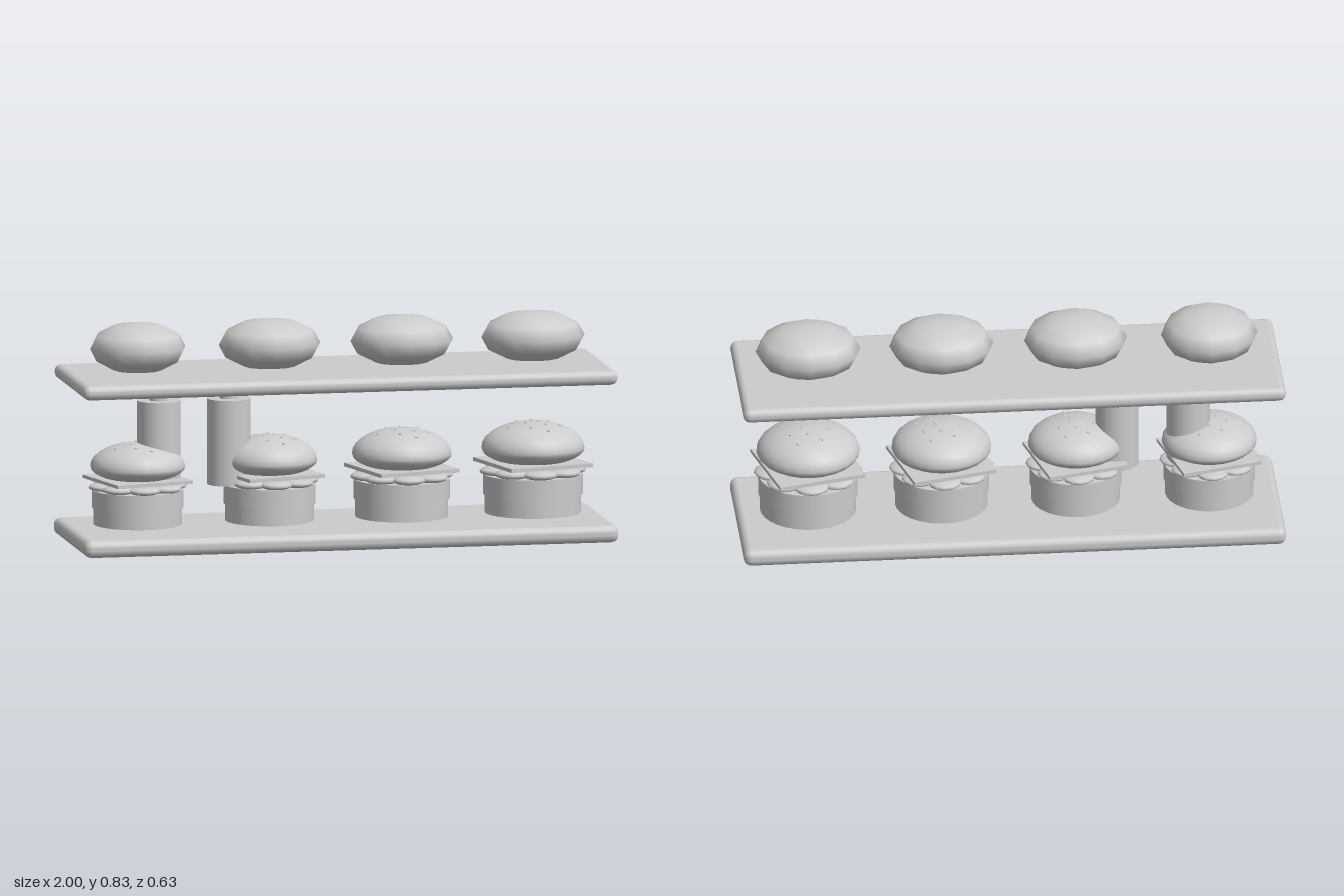
import * as THREE from 'three';
import { RoundedBoxGeometry } from 'three/addons/geometries/RoundedBoxGeometry.js';

const grey = new THREE.MeshStandardMaterial({ color: 0xcccccc });
grey.name = 'plain grey';

function part(name, geometry, parent, x = 0, y = 0, z = 0) {
  const mesh = new THREE.Mesh(geometry, grey);
  mesh.name = name;
  mesh.position.set(x, y, z);
  parent.add(mesh);
  return mesh;
}

// Cylinder given by its bottom and top heights
function drum(name, radius, bottom, top, parent, x = 0) {
  const geometry = new THREE.CylinderGeometry(radius, radius, top - bottom, 32);
  return part(name, geometry, parent, x, (bottom + top) / 2);
}

// Domed bun: rounder above its widest line than below
const BUN = { radius: 0.19, up: 0.098, down: 0.063, y: 0.239 };
function bunGeometry() {
  const geometry = new THREE.SphereGeometry(1, 24, 16);
  const p = geometry.attributes.position;
  for (let i = 0; i < p.count; i++) {
    const y = p.getY(i);
    p.setXYZ(i, p.getX(i) * BUN.radius, y * (y > 0 ? BUN.up : BUN.down), p.getZ(i) * BUN.radius);
  }
  geometry.computeVertexNormals();
  return geometry;
}

// Stacked burger with its base at y = 0
function makeBurger() {
  const burger = new THREE.Group();
  burger.name = 'burger';
  drum('bottomBun', 0.177, 0, 0.068, burger);
  drum('patty', 0.183, 0.068, 0.143, burger);

  // Ruffled lettuce made of flattened lumps
  for (let i = 0; i < 8; i++) {
    const a = (i / 8) * Math.PI * 2;
    const leaf = part('lettuceLeaf', new THREE.SphereGeometry(0.066, 12, 8), burger,
      Math.cos(a) * 0.134, 0.156, Math.sin(a) * 0.134);
    leaf.scale.y = 0.28;
  }

  // Square cheese slice, turned so its corners poke out
  const cheese = part('cheese', new THREE.BoxGeometry(0.33, 0.014, 0.33), burger, 0, 0.184);
  cheese.rotation.y = 0.25;

  part('topBun', bunGeometry(), burger, 0, BUN.y);

  // Sesame seeds in a spiral over the dome
  for (let i = 0; i < 12; i++) {
    const a = i * 2.4, r = 0.035 * Math.sqrt(i + 0.3);
    const y = BUN.y + BUN.up * Math.sqrt(1 - (r / BUN.radius) ** 2);
    const seed = part('sesameSeed', new THREE.SphereGeometry(0.007, 8, 6), burger,
      Math.cos(a) * r, y, Math.sin(a) * r);
    seed.scale.y = 0.65;
  }
  return burger;
}

export function createModel() {
  const model = new THREE.Group();
  model.name = 'burgerShelf';

  // Shelves
  part('lowerShelf', new RoundedBoxGeometry(2, 0.065, 0.626, 2, 0.028), model, 0, 0.0325);
  part('upperShelf', new RoundedBoxGeometry(2, 0.054, 0.588, 2, 0.025), model, 0, 0.61);

  // Burgers on the lower shelf, growing from left to right, and loaves above
  const columns = [
    { x: -0.742, wide: 0.92, tall: 0.896, loaf: 0.178 },
    { x: -0.249, wide: 0.925, tall: 0.94, loaf: 0.19 },
    { x: 0.246, wide: 0.965, tall: 0.97, loaf: 0.192 },
    { x: 0.737, wide: 1, tall: 1, loaf: 0.193 },
  ];
  for (const { x, wide, tall, loaf } of columns) {
    const burger = makeBurger();
    burger.position.set(x, 0.078, 0);
    burger.scale.set(wide, tall, wide);
    model.add(burger);

    const bread = part('breadLoaf', new THREE.SphereGeometry(1, 12, 6), model, x, 0.732, 0);
    bread.scale.set(loaf, 0.095, 0.171);
  }

  // Bottles hanging under the upper shelf
  for (const x of [-0.664, -0.402]) {
    const bottle = new THREE.Group();
    bottle.name = 'bottle';
    bottle.position.x = x;
    drum('bottleBody', 0.08, 0.217, 0.535, bottle);
    drum('bottleNeck', 0.034, 0.535, 0.585, bottle);
    model.add(bottle);
  }
  return model;
}
